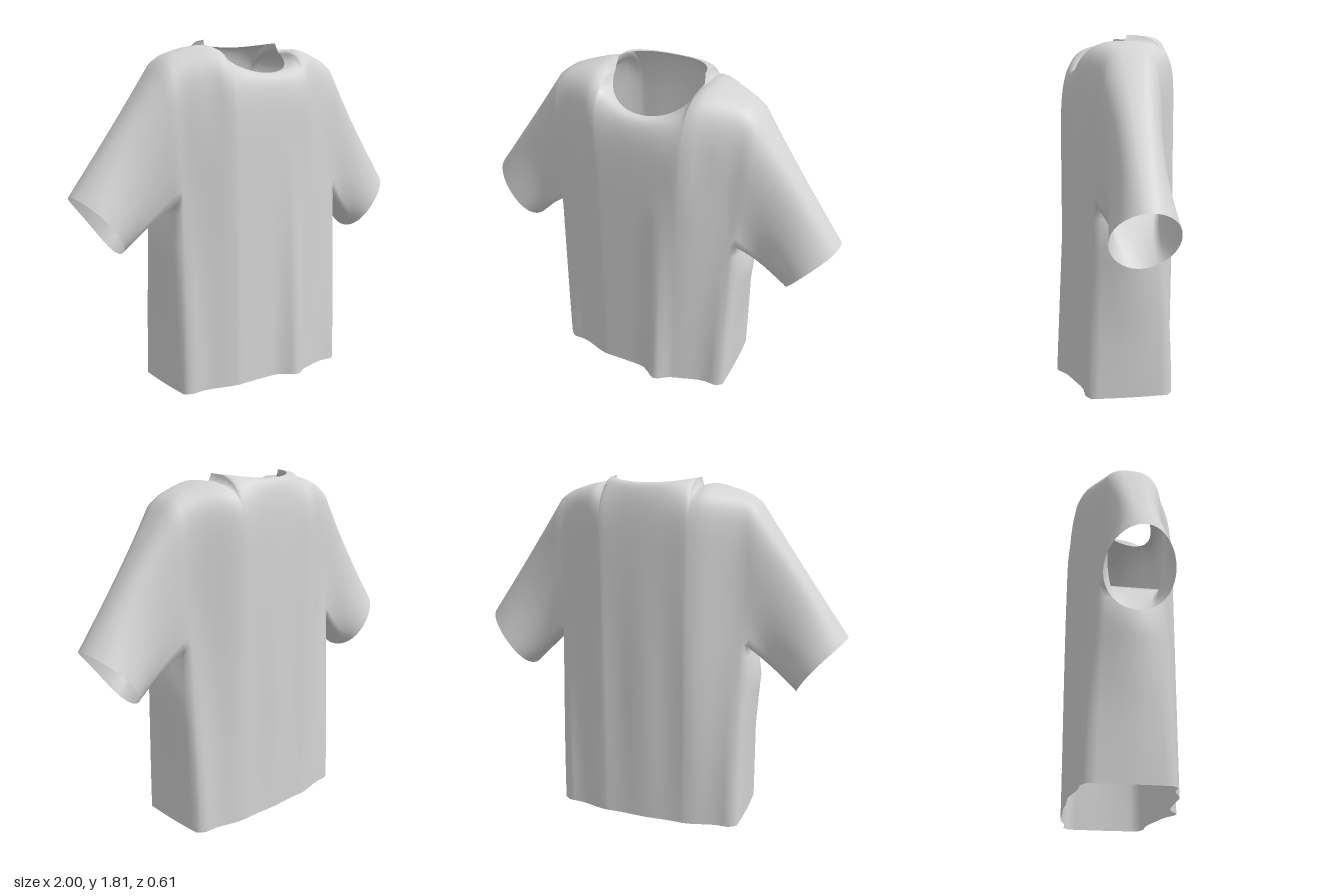
import * as THREE from 'three';

const { lerp, smoothstep } = THREE.MathUtils;
const bell = (d, w) => Math.exp(-((d / w) ** 2));

// Piecewise-linear lookup in a short list of [input, output] pairs
function along(table, t) {
  let i = 1;
  while (i < table.length - 1 && t > table[i][0]) i++;
  const [a, b] = [table[i - 1], table[i]];
  return lerp(a[1], b[1], Math.min(1, Math.max(0, (t - a[0]) / (b[0] - a[0]))));
}

const ARMPIT = 1.0, LOW = 14, HIGH = 22, RIDGE = -0.035, NECK = 0.235, WIDE = 0.53;
const SHOULDER = [[0.235, 1.764], [0.27, 1.778], [0.31, 1.78], [0.4, 1.757], [0.48, 1.73], [0.53, 1.695]];
const BULGE = [[0, 0.005], [0.35, 0.018], [0.8, 0.056], [0.94, 0.025], [1, 0]];
const HALF = [0.04, 0.08, 0.105, 0.13, 0.16, 0.19, 0.215, 0.228, 0.234, 0.24, 0.27, 0.3, 0.34, 0.38, 0.42, 0.46, 0.485, 0.51, 0.53];
const COLUMNS = [...HALF.map((x) => -x).reverse(), 0, ...HALF];
const LAST = COLUMNS.length - 1;

// Depth of the hanging cloth, with its soft vertical folds and rounded hem corners
function depth(x, y, front) {
  const a = Math.abs(x), k = smoothstep(y, 0, 1.3);
  const chest = smoothstep(a, 0.2, 0.53), hem = smoothstep(a, 0.2, 0.42);
  const corner = 0.03 * smoothstep(a, 0.45, 0.51) ** 2 * (1 - k);
  if (front) {
    const fold = 0.06 * bell(x - 0.13, 0.06) * Math.max(0, 1 - y / 1.3);
    const dent = 0.012 * bell(a - 0.33, 0.045) * bell(y - 1.5, 0.2);
    return lerp(lerp(0.25, 0.19, hem), lerp(0.25, 0.14, chest), k) + fold - dent - corner;
  }
  const ripple = 0.006 * Math.cos(x * 22) * (1 - chest) * bell(y - 0.6, 0.7);
  return lerp(lerp(-0.29, -0.255, hem), lerp(-0.3, -0.18, chest), k) - ripple + corner;
}

// A point on the front or back panel: column i, row j from hem to top edge
function panelPoint(i, j, front) {
  const top = COLUMNS[i], a = Math.abs(top);
  if (j <= LOW) {
    const x = (top / WIDE) * 0.505;
    const hem = 0.005 + (front ? 0.02 : -0.005) * Math.cos((Math.PI / 2) * (top / WIDE));
    const y = lerp(hem, ARMPIT, j / LOW);
    return new THREE.Vector3(x, y, depth(x, y, front));
  }
  const t = Math.sin((Math.PI / 2) * ((j - LOW) / HIGH));
  const x = (top / WIDE) * lerp(0.505, WIDE, t);
  let topY = along(SHOULDER, a), edgeZ = RIDGE, collar = 0;
  let power = front ? 6 : lerp(12, 8, smoothstep(a, NECK, WIDE));
  if (a < NECK) {
    const n = a / NECK, round = Math.sqrt(1 - n ** 2.2);
    edgeZ += (front ? 0.205 : -0.205) * round;
    if (front) topY = 1.64 + 0.125 * (1 - Math.sqrt(1 - n * n));
    else {
      collar = 0.026 + 0.022 * n * n;
      power = lerp(8, 12, n ** 4);
    }
  }
  // the collar only lifts the last rows behind the neck
  const y = lerp(ARMPIT, topY, t) + collar * t ** 30;
  const arch = Math.cbrt(Math.max(0, 1 - t ** power));
  return new THREE.Vector3(x, y, lerp(edgeZ, depth(x, y, front), arch));
}

// Under-arm side strip: u runs from the front panel to the back panel
function sidePoint(u, j, side) {
  const i = side > 0 ? LAST : 0;
  const p = panelPoint(i, j, true).lerp(panelPoint(i, j, false), u);
  p.x += side * along(BULGE, p.y) * Math.sin(Math.PI * u);
  return p;
}

// Closed armhole loop: down the front, under the arm, up the back
function armhole(side, strips) {
  const i = side > 0 ? LAST : 0, ring = [];
  for (let j = LOW + HIGH; j >= LOW; j--) ring.push(panelPoint(i, j, true));
  for (let k = 1; k < strips; k++) ring.push(sidePoint(k / strips, LOW, side));
  for (let j = LOW; j <= LOW + HIGH; j++) ring.push(panelPoint(i, j, false));
  return ring;
}

// Cuff opening at angle phi, starting from its upper outer edge; its sides curve inward
function cuffPoint(phi, side) {
  const a = (1 - Math.cos(phi)) / 2, s = Math.sin(phi);
  const x = lerp(1.0, 0.76, a) - 0.03 * s * s;
  return new THREE.Vector3(side * x, lerp(1.04, 0.74, a), RIDGE + (s > 0 ? 0.16 : 0.172) * s);
}

// Grid surface from a point function
function sheet(point, nu, nv, flip) {
  const pos = [], index = [];
  for (let j = 0; j <= nv; j++) for (let i = 0; i <= nu; i++) pos.push(...point(i, j).toArray());
  for (let j = 0; j < nv; j++) for (let i = 0; i < nu; i++) {
    const a = j * (nu + 1) + i, b = a + 1, c = a + nu + 1, d = c + 1;
    index.push(...(flip ? [a, d, b, a, c, d] : [a, b, d, a, d, c]));
  }
  const g = new THREE.BufferGeometry();
  g.setAttribute('position', new THREE.Float32BufferAttribute(pos, 3));
  g.setIndex(index);
  g.computeVertexNormals();
  return g;
}

// Average the normals where parts meet, so seams stay smooth
function blendSeams(meshes) {
  const sums = new Map(), v = new THREE.Vector3();
  const each = (fn) => meshes.forEach(({ geometry: { attributes: { position: p, normal: n } } }) => {
    for (let i = 0; i < p.count; i++) {
      fn([p.getX(i), p.getY(i), p.getZ(i)].map((c) => Math.round(c * 1e4)).join(), n, i);
    }
  });
  each((key, n, i) => {
    if (!sums.has(key)) sums.set(key, new THREE.Vector3());
    sums.get(key).add(v.fromBufferAttribute(n, i));
  });
  each((key, n, i) => {
    v.copy(sums.get(key)).normalize();
    n.setXYZ(i, v.x, v.y, v.z);
  });
}

export function createModel() {
  const shirt = new THREE.Group();
  shirt.name = 'shirt';
  const cloth = new THREE.MeshStandardMaterial({ color: 0xd4d4d4, side: THREE.DoubleSide });
  cloth.name = 'grey cloth';
  const add = (name, geometry) => {
    const mesh = new THREE.Mesh(geometry, cloth);
    mesh.name = name;
    shirt.add(mesh);
  };

  add('frontPanel', sheet((i, j) => panelPoint(i, j, true), LAST, LOW + HIGH, false));
  add('backPanel', sheet((i, j) => panelPoint(i, j, false), LAST, LOW + HIGH, true));

  const strips = 10, steps = 14;
  for (const side of [1, -1]) {
    const label = side > 0 ? 'left' : 'right';
    add(label + 'Side', sheet((i, j) => sidePoint(i / strips, j, side), strips, LOW, side < 0));

    // Sleeve: loft from the armhole to the cuff, matched by length around the loop
    const ring = armhole(side, strips), length = [0];
    for (let k = 1; k < ring.length; k++) length.push(length[k - 1] + ring[k].distanceTo(ring[k - 1]));
    const total = length[length.length - 1];
    add(label + 'Sleeve', sheet((i, j) => {
      const v = j / steps;
      const p = ring[i].clone().lerp(cuffPoint((2 * Math.PI * length[i]) / total, side), v);
      p.z = RIDGE + (p.z - RIDGE) * (1 - 0.16 * Math.sin(Math.PI * v));
      return p;
    }, ring.length - 1, steps, side < 0));
  }

  blendSeams(shirt.children);
  return shirt;
}
